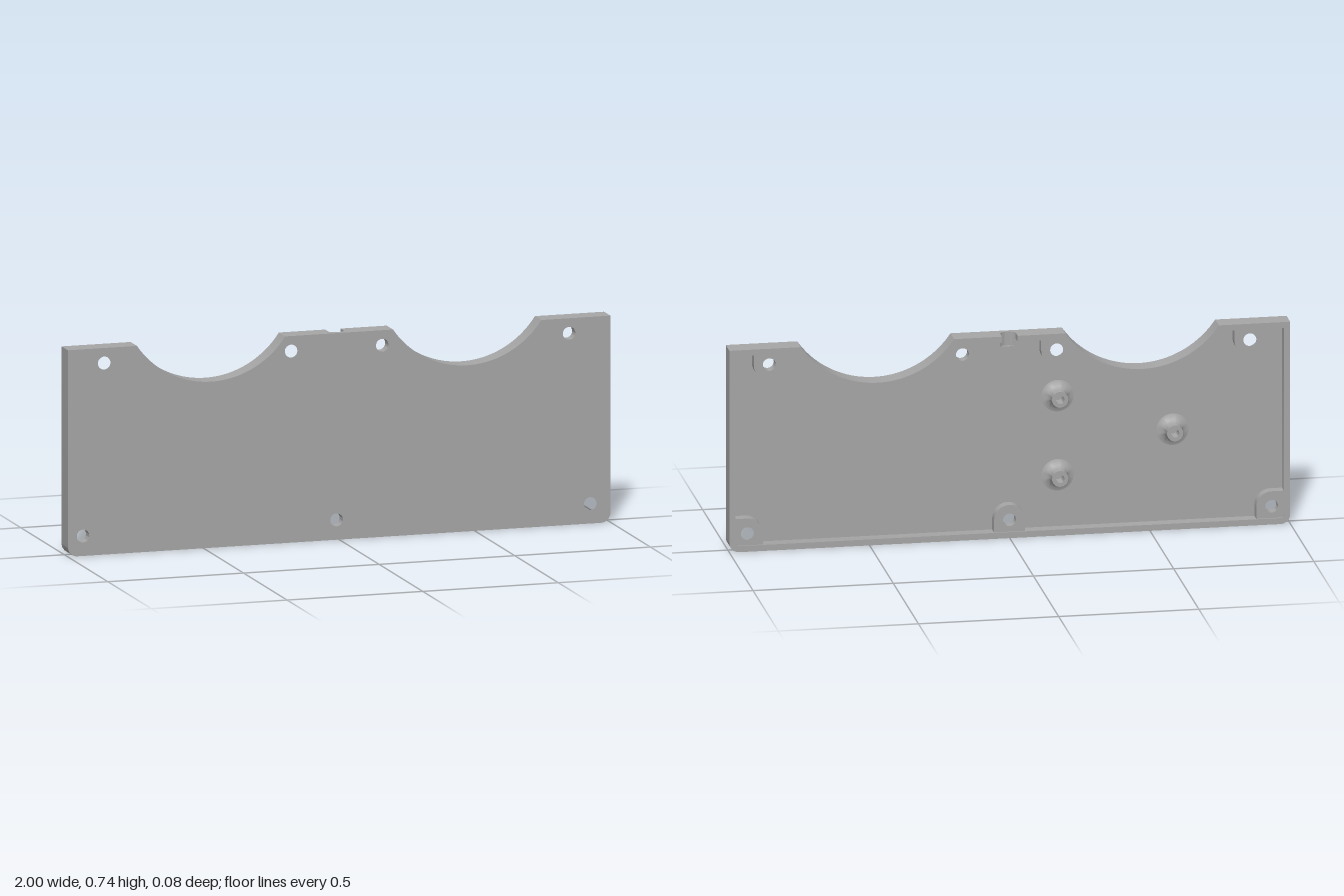
import * as THREE from 'three';
import { toCreasedNormals } from 'three/addons/utils/BufferGeometryUtils.js';

const TOP = 0.74, FRONT = 0.041, BACK = -0.032, FLOOR = 0.012, GROOVE = 0.026;
const WALL = 0.022, NOTCH = 0.028, NOTCH_Y = 0.69, BOSS_BACK = -0.026;
const BOSS_R = 0.055, HOLE_R = 0.023, BORE_R = 0.04;
const ARC = { x: 0.472, y: 0.925, r: 0.33 };

const V = (x, y) => new THREE.Vector2(x, y);

// points along a circular arc
function arc(cx, cy, r, a0, a1, n) {
  return Array.from({ length: n + 1 }, (_, i) => {
    const a = a0 + (a1 - a0) * i / n;
    return V(cx + r * Math.cos(a), cy + r * Math.sin(a));
  });
}

// cover outline inset by w, from the notch on the +x side round to the -x side
function outline(w) {
  const top = TOP - w, r = ARC.r + w;
  const a = Math.asin((top - ARC.y) / r);
  const c = Math.max(0.035 - w, 0.012), e = 1 - w;
  const half = [
    V(NOTCH, top),
    ...arc(ARC.x, ARC.y, r, -Math.PI - a, a, 40),
    V(e, top),
    ...arc(e - c, w + c, c, 0, -Math.PI / 2, 8),
  ];
  return [...half, ...half.map(p => V(-p.x, p.y)).reverse()];
}

function slab(points, z0, z1, holes = []) {
  const shape = new THREE.Shape(points);
  for (const [x, y, r] of holes) {
    shape.holes.push(new THREE.Path().absarc(x, y, r, 0, Math.PI * 2, true));
  }
  const g = new THREE.ExtrudeGeometry(shape, { depth: z1 - z0, bevelEnabled: false, curveSegments: 32 });
  g.translate(0, 0, z0);
  return toCreasedNormals(g, 0.5);
}

export function createModel() {
  const group = new THREE.Group();
  const grey = new THREE.MeshStandardMaterial({ color: 0xa6a6a6 });
  grey.name = 'grey';
  const add = (name, geometry) => {
    const mesh = new THREE.Mesh(geometry, grey);
    mesh.name = name;
    group.add(mesh);
    return mesh;
  };

  // front panel in two layers; the rear one is open at the notch
  const screws = [[0.857, 0.68], [0.168, 0.68], [0.935, 0.065]]
    .flatMap(([x, y]) => [[x, y], [-x, y]]).concat([[0, 0.065]]);
  const bores = screws.map(([x, y]) => [x, y, BORE_R]);
  const outer = outline(0);
  add('frontPanel', slab(outer, GROOVE, FRONT, bores));
  add('panelBacking', slab([...outer, V(-NOTCH, NOTCH_Y), V(NOTCH, NOTCH_Y)], FLOOR, GROOVE, bores));

  // rim wall, broken at the cable notch
  add('rimWall', slab([...outer, ...outline(WALL).reverse()], BACK, FLOOR));

  // rounded bottom of the notch
  const bed = new THREE.Shape();
  bed.moveTo(-NOTCH, GROOVE);
  bed.lineTo(NOTCH, GROOVE);
  bed.lineTo(NOTCH, FLOOR);
  bed.quadraticCurveTo(0, 0.039, -NOTCH, FLOOR);
  const bedGeo = new THREE.ExtrudeGeometry(bed, { depth: TOP - NOTCH_Y, bevelEnabled: false, curveSegments: 16 });
  bedGeo.rotateX(Math.PI / 2); // shape y becomes z, depth runs down
  bedGeo.translate(0, TOP, 0);
  add('notchBed', toCreasedNormals(bedGeo, 0.5));

  // screw bosses joined to the nearest walls
  const boss = (name, points, x, y) =>
    add(name, slab(points, BOSS_BACK, FLOOR, [[x, y, HOLE_R]]));
  const R = BOSS_R, PI = Math.PI;
  for (const s of [1, -1]) {
    const flip = pts => pts.map(p => V(p.x * s, p.y));
    boss('topOuterBoss', flip([
      ...arc(0.857, 0.68, R, PI, 2 * PI, 20), V(0.857 + R, 0.73), V(0.857 - R, 0.73),
    ]), 0.857 * s, 0.68);
    boss('topInnerBoss', flip([
      ...arc(0.168, 0.68, R, PI, 1.5 * PI, 12),
      V(0.3, 0.625), V(0.24, 0.68), V(0.205, 0.727), V(0.168 - R, 0.727),
    ]), 0.168 * s, 0.68);
    boss('cornerBoss', flip([
      ...arc(0.935, 0.065, R, PI, PI / 2, 12),
      V(0.99, 0.065 + R), V(0.99, 0.03), V(0.97, 0.01), V(0.935 - R, 0.01),
    ]), 0.935 * s, 0.065);
  }
  boss('bottomBoss', [...arc(0, 0.065, R, 0, PI, 20), V(-R, 0.01), V(R, 0.01)], 0, 0.065);

  // hollow standoffs with flared feet
  const h = 0.053;
  const profile = [
    V(0.058, 0), V(0.046, 0.003), V(0.037, 0.009), V(0.031, 0.018), V(0.029, 0.028),
    V(0.029, h), V(0.015, h), V(0.015, 0.004), V(0, 0.004),
  ];
  const standoff = toCreasedNormals(new THREE.LatheGeometry(profile, 32).rotateX(-PI / 2), 0.7);
  for (const [x, y] of [[-0.178, 0.5], [-0.178, 0.21], [-0.588, 0.355]]) {
    add('standoff', standoff).position.set(x, y, FLOOR);
  }
  return group;
}
